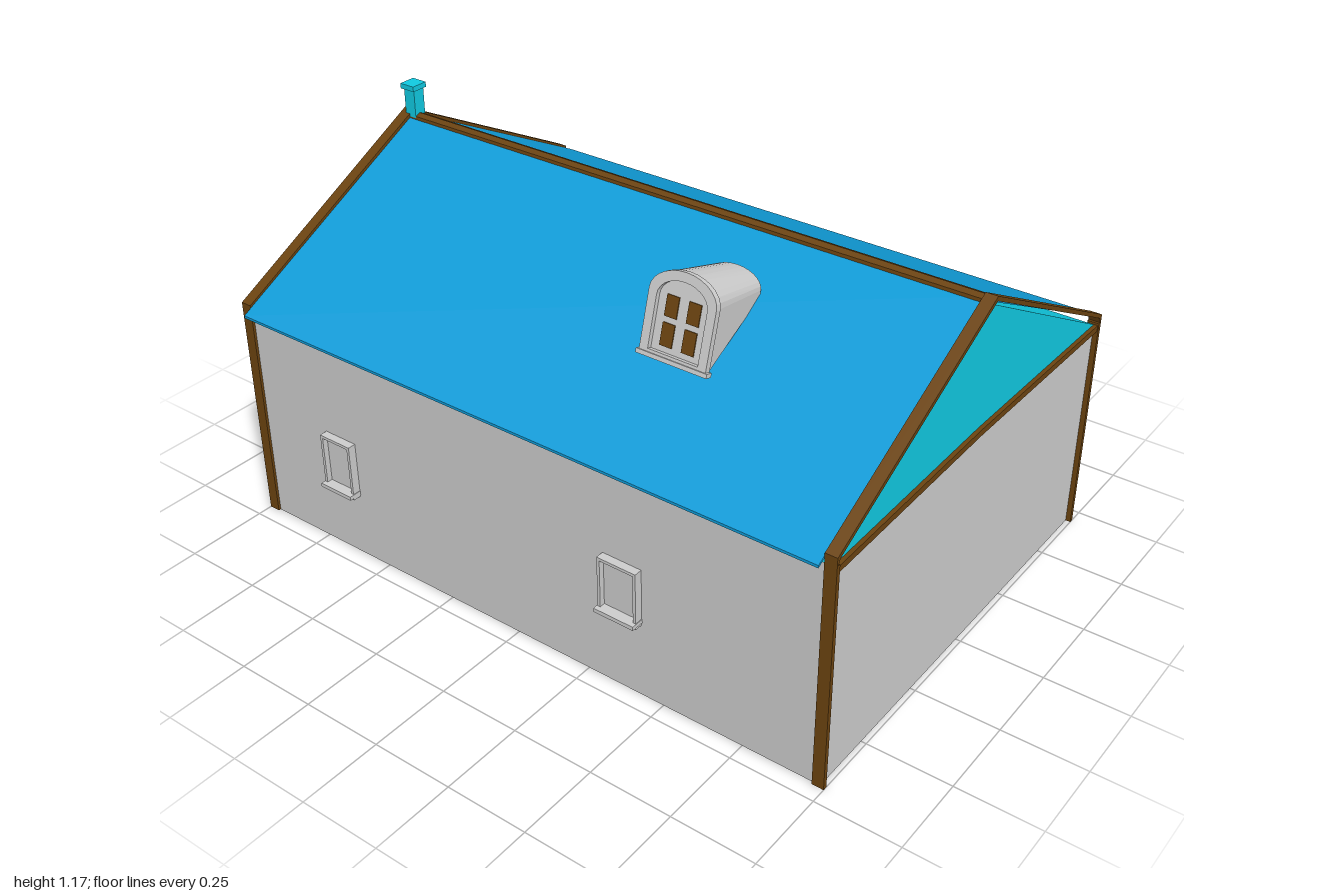
import * as THREE from 'three';

const mat = (color) => new THREE.MeshStandardMaterial({ color, flatShading: true, side: THREE.DoubleSide });

export function createModel() {
  const house = new THREE.Group();
  house.name = 'house';
  const grey = mat(0xcccccc), brown = mat(0x6b4310), blue = mat(0x109cd8), cyan = mat(0x10c8e0);

  const add = (name, geo, material, parent = house) => {
    const mesh = new THREE.Mesh(geo, material);
    mesh.name = name;
    parent.add(mesh);
    return mesh;
  };
  // Box from its minimum and maximum corners
  const box = (name, [x0, y0, z0], [x1, y1, z1], material, parent) => {
    const geo = new THREE.BoxGeometry(x1 - x0, y1 - y0, z1 - z0);
    geo.translate((x0 + x1) / 2, (y0 + y1) / 2, (z0 + z1) / 2);
    return add(name, geo, material, parent);
  };
  // Outline in (z, y), extruded along x from x0 to x1
  const across = (name, points, x0, x1, material) => {
    const shape = new THREE.Shape(points.map(([z, y]) => new THREE.Vector2(-z, y)));
    const geo = new THREE.ExtrudeGeometry(shape, { depth: x1 - x0, bevelEnabled: false });
    geo.rotateY(Math.PI / 2);
    geo.translate(x0, 0, 0);
    return add(name, geo, material);
  };

  // Walls and loft
  box('walls', [-0.985, 0, -0.695], [0.985, 0.68, 0.695], grey);
  across('gables', [[0.695, 0.68], [0, 1.055], [-0.695, 0.68]], -0.985, 0.985, cyan);

  // Roof slopes
  for (const s of [1, -1]) {
    across(s > 0 ? 'frontRoof' : 'backRoof',
      [[s * 0.728, 0.686], [s * 0.728, 0.694], [0, 1.07], [0, 1.058]], -0.965, 0.965, blue);
  }

  // Ridge board
  across('ridge', [[0.018, 1.06], [0.016, 1.07], [0, 1.078], [-0.022, 1.068], [-0.022, 1.055]], -0.965, 0.965, brown);

  // Corner posts, rakes and tie beams at both ends
  for (const s of [1, -1]) {
    const x0 = s > 0 ? 0.965 : -1, x1 = x0 + 0.035;
    for (const t of [1, -1]) {
      const z0 = t > 0 ? 0.69 : -0.703;
      box('cornerPost', [x0, 0, z0], [x1, 0.69, z0 + 0.013], brown);
      across('rake', [[t * 0.703, 0.68], [t * 0.703, 0.715], [0, 1.082], [0, 1.068], [t * 0.69, 0.708]], x0, x1, brown);
    }
    across('tieBeam', [[0.695, 0.664], [0.695, 0.683], [0, 0.695], [-0.695, 0.683], [-0.695, 0.664], [0, 0.676]], x0, x1 - 0.003, brown);
  }

  // Chimney
  box('chimneyShaft', [-0.98, 1.04, -0.023], [-0.94, 1.155, 0.017], cyan);
  box('chimneyCap', [-0.987, 1.152, -0.03], [-0.935, 1.168, 0.024], cyan);

  // Front windows: open frame around a recessed pane, with a sill
  for (const [x0, x1, y0, y1] of [[-0.71, -0.595, 0.205, 0.385], [0.305, 0.43, 0.235, 0.412]]) {
    const w = new THREE.Group();
    w.name = 'frontWindow';
    house.add(w);
    const f = 0.009;
    box('windowPane', [x0, y0, 0.69], [x1, y1, 0.703], grey, w);
    box('windowSide', [x0, y0, 0.69], [x0 + f, y1, 0.72], grey, w);
    box('windowSide', [x1 - f, y0, 0.69], [x1, y1, 0.72], grey, w);
    box('windowHead', [x0, y1 - f, 0.69], [x1, y1, 0.72], grey, w);
    box('windowSill', [x0 - 0.002, y0 + 0.008, 0.69], [x1 + 0.002, y0 + 0.02, 0.735], grey, w);
    box('windowApron', [x0, y0, 0.69], [x1, y0 + 0.008, 0.718], grey, w);
  }

  // Dormer, leaning back on the front slope
  const dormer = new THREE.Group();
  dormer.name = 'dormer';
  dormer.position.set(0.341, 0.866, 0.45);
  dormer.rotation.x = -0.27;
  house.add(dormer);

  // Arched outline: straight sides under a half ellipse
  const arch = (half, bottom, spring, top, n = 14) => {
    const pts = [new THREE.Vector2(half, bottom)];
    for (let i = 0; i <= n; i++) {
      const a = Math.PI * i / n;
      pts.push(new THREE.Vector2(half * Math.cos(a), spring + (top - spring) * Math.sin(a)));
    }
    pts.push(new THREE.Vector2(-half, bottom));
    return pts;
  };

  // Tapered shell between the front arch and the narrower rear arch
  const front = arch(0.102, 0, 0.175, 0.242), rear = arch(0.083, 0.17, 0.19, 0.236);
  const pos = [], index = [];
  front.forEach((p, i) => pos.push(p.x, p.y, -0.005, rear[i].x, rear[i].y, -0.232));
  for (let i = 0; i < front.length; i++) {
    const a = 2 * i, b = 2 * ((i + 1) % front.length);
    index.push(a, a + 1, b, b, a + 1, b + 1);
  }
  const shell = new THREE.BufferGeometry();
  shell.setAttribute('position', new THREE.Float32BufferAttribute(pos, 3));
  shell.setIndex(index);
  shell.computeVertexNormals();
  const smooth = grey.clone();
  smooth.flatShading = false;
  add('dormerShell', shell.toNonIndexed(), grey, dormer).geometry.computeVertexNormals();
  const back = new THREE.ShapeGeometry(new THREE.Shape(rear));
  back.translate(0, 0, -0.232);
  add('dormerBack', back, grey, dormer);

  // Arched surround and sill
  const surround = new THREE.Shape(arch(0.104, 0, 0.175, 0.244));
  surround.holes.push(new THREE.Path(arch(0.078, 0.02, 0.165, 0.218).reverse()));
  const ring = new THREE.ExtrudeGeometry(surround, { depth: 0.018, bevelEnabled: false });
  ring.translate(0, 0, -0.018);
  add('dormerSurround', ring, grey, dormer);
  box('dormerSill', [-0.111, 0, -0.018], [0.111, 0.012, 0.004], grey, dormer);

  // Sash with four panes
  const sash = new THREE.ShapeGeometry(new THREE.Shape(arch(0.085, 0.015, 0.165, 0.222)));
  sash.translate(0, 0, -0.014);
  add('dormerSash', sash, grey, dormer);
  for (const s of [-1, 1]) {
    for (const [y0, y1] of [[0.036, 0.098], [0.114, 0.172]]) {
      box('dormerPane', [s * 0.034 - 0.019, y0, -0.016], [s * 0.034 + 0.019, y1, -0.011], brown, dormer);
    }
  }

  return house;
}
